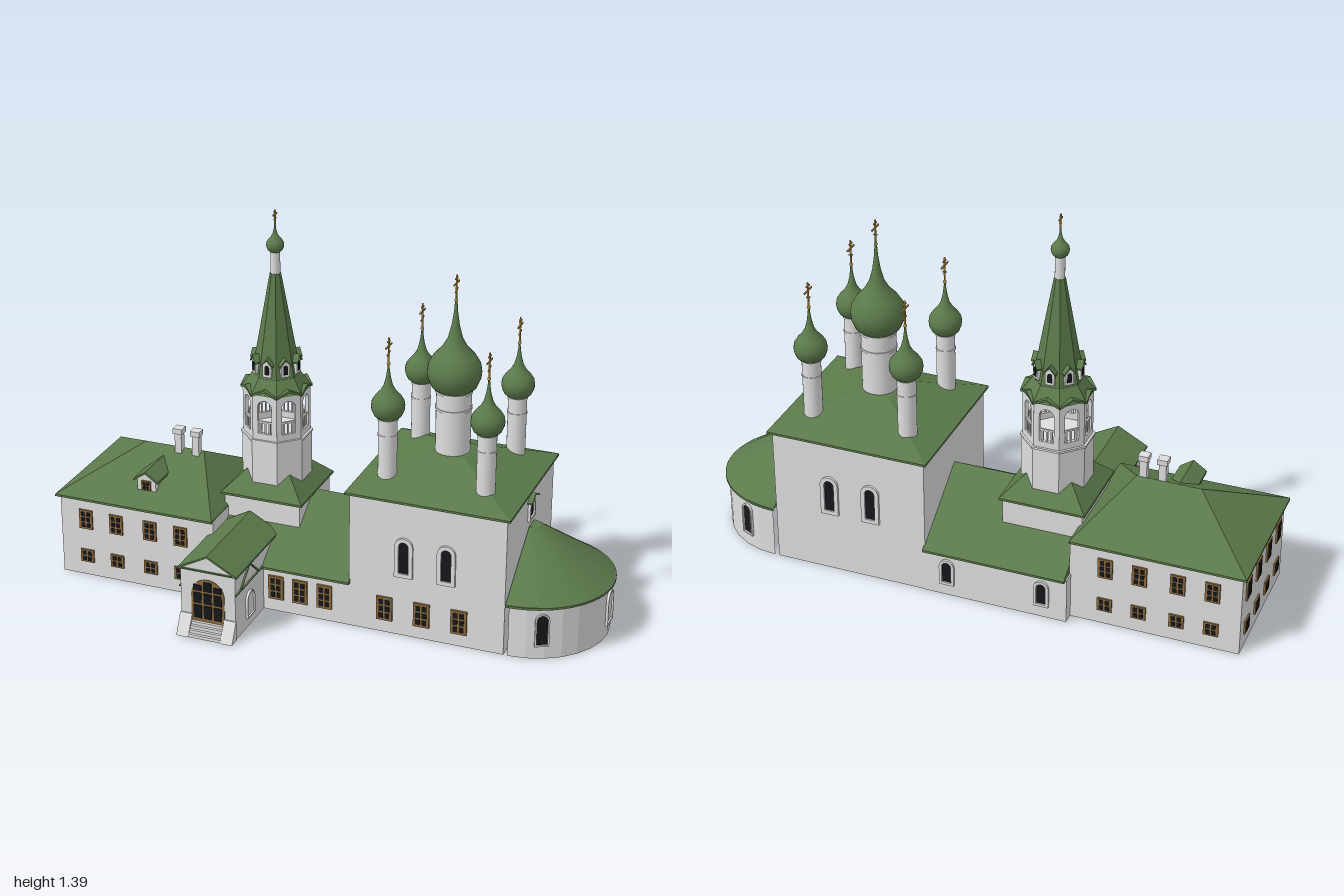
import * as THREE from 'three';

const mat = (name, color) => Object.assign(new THREE.MeshStandardMaterial({ color }), { name });

export function createModel() {
  const root = new THREE.Group();
  root.name = 'church';
  const wall = mat('whitewash', 0xdedede);
  const green = mat('greenRoof', 0x5b7a4b);
  const black = mat('darkGlass', 0x15171a);
  const brown = mat('brownWood', 0x8a6a3c);
  const gold = mat('gold', 0xb8913f);

  // ---------- helpers ----------
  const add = (name, geo, m, x = 0, y = 0, z = 0, parent = root) => {
    const mesh = new THREE.Mesh(geo, m);
    mesh.name = name;
    mesh.position.set(x, y, z);
    parent.add(mesh);
    return mesh;
  };
  const group = (name, x, y, z, ry = 0, parent = root) => {
    const g = new THREE.Group();
    g.name = name;
    g.position.set(x, y, z);
    g.rotation.y = ry;
    parent.add(g);
    return g;
  };
  const flat = (geo) => {
    const g = geo.index ? geo.toNonIndexed() : geo;
    g.computeVertexNormals();
    return g;
  };
  // box given by its limits
  const block = (name, m, x0, x1, y0, y1, z0, z1, parent = root) =>
    add(name, new THREE.BoxGeometry(x1 - x0, y1 - y0, z1 - z0), m, (x0 + x1) / 2, (y0 + y1) / 2, (z0 + z1) / 2, parent);
  // hipped roof: box whose top is drawn in to the ridge limits, over a thin eave board
  const hipRoof = (name, [x0, x1, z0, z1], y0, y1, [rx0, rx1, rz0, rz1]) => {
    const geo = new THREE.BoxGeometry(1, 1, 1);
    const p = geo.attributes.position;
    for (let i = 0; i < p.count; i++) {
      const top = p.getY(i) > 0, right = p.getX(i) > 0, front = p.getZ(i) > 0;
      if (top) p.setXYZ(i, right ? rx1 : rx0, y1, front ? rz1 : rz0);
      else p.setXYZ(i, right ? x1 : x0, y0, front ? z1 : z0);
    }
    add(name, flat(geo), green);
    block(name + 'Eave', green, x0, x1, y0 - 0.008, y0, z0, z1);
  };
  const poly = (pts) => new THREE.Shape(pts.map(([x, y]) => new THREE.Vector2(x, y)));
  const extrude = (shape, depth) => new THREE.ExtrudeGeometry(shape, { depth, bevelEnabled: false, curveSegments: 8 });
  // arch outline standing on y0
  const arch = (w, h, y0 = 0, Type = THREE.Shape) => {
    const s = new Type(), r = w / 2;
    s.moveTo(-r, y0);
    s.lineTo(r, y0);
    s.lineTo(r, y0 + h - r);
    s.absarc(0, y0 + h - r, r, 0, Math.PI, false);
    s.closePath();
    return s;
  };
  // inverted V strip, used for gables
  const vee = (half, y0, y1, t) =>
    poly([[-half, y0], [-half, y0 - t], [0, y1 - t], [half, y0 - t], [half, y0], [0, y1]]);
  const prism = (r0, r1, h, n, a0 = Math.PI / 8) =>
    flat(new THREE.CylinderGeometry(r1, r0, h, n).rotateY(a0));

  // wooden window with dark panes, standing on its origin and facing +z
  const sash = (x, y, z, w, h, cols, rows, ry = 0) => {
    const g = group('window', x, y, z, ry);
    add('windowFrame', new THREE.BoxGeometry(w, h, 0.008), brown, 0, h / 2, 0.002, g);
    const cw = w * 0.8 / cols, ch = h * 0.88 / rows;
    for (let i = 0; i < cols; i++) for (let j = 0; j < rows; j++)
      add('pane', new THREE.BoxGeometry(cw * 0.72, ch * 0.75, 0.003), black,
        (i - (cols - 1) / 2) * cw, h / 2 + (j - (rows - 1) / 2) * ch, 0.006, g);
  };
  // arched window with a raised surround
  const archWindow = (x, y, z, w, h, m, ry = 0, rim = 0.01, parent = root) => {
    const g = group('archedWindow', x, y, z, ry, parent);
    const ring = arch(w + 2 * rim, h + 2 * rim, -rim);
    ring.holes.push(arch(w, h, 0, THREE.Path));
    add('surround', extrude(ring, 0.009), wall, 0, 0, 0, g);
    add('glass', extrude(arch(w, h), 0.003), m, 0, 0, 0, g);
  };

  // ---------- west house ----------
  block('houseWalls', wall, -0.985, -0.385, 0, 0.305, -0.37, 0.132);
  hipRoof('houseRoof', [-1, -0.385, -0.385, 0.145], 0.31, 0.447, [-0.76, -0.53, -0.121, -0.119]);
  for (const x of [-0.885, -0.765, -0.632, -0.512]) for (const [z, ry] of [[0.132, 0], [-0.37, Math.PI]]) {
    sash(x, 0.187, z, 0.052, 0.075, 2, 3, ry);
    sash(x, 0.053, z, 0.052, 0.05, 2, 2, ry);
  }
  for (const z of [-0.3, -0.18, -0.06, 0.06]) {
    sash(-0.985, 0.187, z, 0.052, 0.075, 2, 3, -Math.PI / 2);
    sash(-0.985, 0.053, z, 0.052, 0.05, 2, 2, -Math.PI / 2);
  }
  for (const x of [-0.62, -0.552]) {
    block('chimney', wall, x - 0.013, x + 0.013, 0.4, 0.52, -0.12, -0.094);
    block('chimneyCap', wall, x - 0.018, x + 0.018, 0.51, 0.53, -0.125, -0.089);
  }
  // attic dormer
  add('dormerWalls', extrude(poly([[-0.036, 0.33], [0.036, 0.33], [0.036, 0.395], [0, 0.418], [-0.036, 0.395]]), 0.14), wall, -0.67, 0, -0.07);
  add('dormerRoof', extrude(vee(0.048, 0.392, 0.425, 0.008), 0.17), green, -0.67, 0, -0.09);
  sash(-0.67, 0.352, 0.07, 0.036, 0.036, 2, 2);

  // ---------- refectory ----------
  block('refectoryWalls', wall, -0.39, 0.13, 0, 0.17, -0.41, 0.13);
  hipRoof('refectoryRoof', [-0.385, 0.13, -0.425, 0.145], 0.172, 0.363, [-0.385, 0.13, -0.141, -0.139]);
  for (const x of [-0.145, -0.055, 0.037]) sash(x, 0.05, 0.134, 0.056, 0.09, 2, 3);
  for (const x of [0.045, -0.3]) archWindow(x, 0.055, -0.41, 0.034, 0.08, black, Math.PI);

  // ---------- main cube ----------
  block('mainWalls', wall, 0.127, 0.69, 0, 0.51, -0.408, 0.13);
  hipRoof('mainRoof', [0.113, 0.703, -0.425, 0.145], 0.517, 0.607, [0.34, 0.47, -0.205, -0.075]);
  for (const x of [0.26, 0.395, 0.53]) sash(x, 0.05, 0.134, 0.058, 0.09, 2, 3);
  for (const x of [0.327, 0.48]) for (const [z, ry] of [[0.13, 0], [-0.408, Math.PI]])
    archWindow(x, 0.242, z, 0.036, 0.12, black, ry, 0.015);
  // small east window under its gable
  archWindow(0.69, 0.405, -0.137, 0.044, 0.057, black, Math.PI / 2);
  const eastGable = group('eastGable', 0.69, 0, -0.137, Math.PI / 2);
  add('eastGableRoof', extrude(vee(0.044, 0.473, 0.495, 0.006), 0.018), green, 0, 0, 0, eastGable);

  // ---------- apse ----------
  const halfRound = (r0, r1, h, n) => flat(new THREE.CylinderGeometry(r1, r0, h, n, 1, false, 0, Math.PI));
  add('apseWalls', halfRound(0.27, 0.27, 0.2, 14), wall, 0.705, 0.1, -0.139).scale.x = 1.03;
  add('apseRoof', halfRound(0.284, 0.03, 0.178, 24), green, 0.695, 0.287, -0.139).scale.x = 1.06;
  add('apseEave', halfRound(0.284, 0.284, 0.008, 24), green, 0.695, 0.196, -0.139).scale.x = 1.06;
  for (const [a, m] of [[-1, black], [0, wall], [1, black]]) {
    const t = Math.PI / 2 + a * 1.154;
    archWindow(0.705 + Math.sin(t) * 0.276, 0.055, -0.139 + Math.cos(t) * 0.268, a ? 0.038 : 0.058, 0.112, m, t, 0.006);
  }

  // ---------- domes ----------
  const onionProfile = [[0.6, -0.78], [0.83, -0.58], [0.97, -0.25], [1, 0], [0.95, 0.3], [0.76, 0.6], [0.47, 0.92],
    [0.27, 1.28], [0.15, 1.75], [0.07, 2.3], [0.03, 2.95]];
  const onion = (x, y, z, r) =>
    add('onionDome', new THREE.LatheGeometry(onionProfile.map(([a, b]) => new THREE.Vector2(a * r, b * r)), 28), green, x, y, z);
  const cross = (x, y, z, h) => {
    const g = group('cross', x, y, z);
    add('crossBall', new THREE.SphereGeometry(h * 0.07, 12, 8), gold, 0, 0, 0, g);
    add('crossPost', new THREE.BoxGeometry(0.005, h, 0.005), gold, 0, h / 2, 0, g);
    for (const [f, w, tilt] of [[0.86, 0.24, 0], [0.68, 0.6, 0], [0.4, 0.28, 0.45]])
      add('crossBar', new THREE.BoxGeometry(0.005, 0.005, h * w), gold, 0, h * f, 0, g).rotation.x = tilt;
  };
  const drum = (x, z, r, y0, y1) => {
    add('drum', new THREE.CylinderGeometry(r, r, y1 - y0, 24), wall, x, (y0 + y1) / 2, z);
    for (const y of [y0 + (y1 - y0) * 0.72, y1 - 0.012])
      add('drumBand', new THREE.CylinderGeometry(r * 1.06, r * 1.06, 0.008, 24), wall, x, y, z);
  };
  drum(0.403, -0.139, 0.061, 0.58, 0.84);
  onion(0.403, 0.9, -0.139, 0.094);
  cross(0.403, 1.155, -0.139, 0.09);
  for (const x of [0.227, 0.579]) for (const z of [-0.306, 0.031]) {
    drum(x, z, 0.033, 0.53, 0.775);
    onion(x, 0.813, z, 0.058);
    cross(x, 0.965, z, 0.093);
  }

  // ---------- bell tower ----------
  const tx = -0.255, tz = -0.146, K = 1 / Math.cos(Math.PI / 8);
  block('towerBase', wall, tx - 0.143, tx + 0.143, 0, 0.36, tz - 0.143, tz + 0.143);
  hipRoof('towerBaseRoof', [tx - 0.154, tx + 0.154, tz - 0.154, tz + 0.154], 0.363, 0.47, [tx - 0.05, tx + 0.05, tz - 0.05, tz + 0.05]);
  add('towerOctagon', prism(0.114 * K, 0.114 * K, 0.21, 8), wall, tx, 0.465, tz);
  add('towerCornice', prism(0.118 * K, 0.118 * K, 0.008, 8), wall, tx, 0.567, tz);
  add('towerSkirt', prism(0.114 * K, 0.08 * K, 0.05, 8), green, tx, 0.765, tz);
  add('tentRoof', prism(0.08 * K, 0.018 * K, 0.375, 8), green, tx, 0.972, tz);
  for (let i = 0; i < 8; i++) {
    const a = i * Math.PI / 4;
    const g = group('belfrySide', tx, 0, tz, a);
    // open arch with a railing
    const s = poly([[-0.0455, 0.57], [0.0455, 0.57], [0.0455, 0.742], [-0.0455, 0.742]]);
    s.holes.push(arch(0.052, 0.125, 0.595, THREE.Path));
    add('belfryArch', extrude(s, 0.013), wall, 0, 0, 0.097, g);
    block('railing', wall, -0.027, 0.027, 0.634, 0.641, 0.1, 0.106, g);
    for (const x of [-0.016, 0, 0.016]) block('baluster', wall, x - 0.003, x + 0.003, 0.595, 0.635, 0.1, 0.106, g);
    // low gable over the arch
    add('belfryGable', extrude(vee(0.047, 0.742, 0.762, 0.008), 0.03), green, 0, 0, 0.088, g);
    // tent dormer
    const d = poly([[-0.016, 0.8], [0.016, 0.8], [0.016, 0.845], [0, 0.862], [-0.016, 0.845]]);
    add('tentDormer', extrude(d, 0.035), wall, 0, 0, 0.05, g);
    add('tentDormerRoof', extrude(vee(0.021, 0.845, 0.87, 0.006), 0.04), green, 0, 0, 0.05, g);
    add('tentDormerOpening', extrude(arch(0.016, 0.034, 0.81), 0.003), black, 0, 0, 0.084, g);
  }
  add('towerNeck', new THREE.CylinderGeometry(0.017, 0.017, 0.09, 16), wall, tx, 1.198, tz);
  onion(tx, 1.262, tz, 0.031);
  cross(tx, 1.335, tz, 0.052);

  // ---------- porch ----------
  const px = -0.297;
  add('porchWalls', extrude(poly([[-0.102, 0], [0.102, 0], [0.102, 0.246], [0, 0.3], [-0.102, 0.246]]), 0.37), wall, px, 0, 0.005);
  add('porchRoof', extrude(vee(0.111, 0.248, 0.308, 0.007), 0.375), green, px, 0, 0.007);
  block('porchCornice', green, px - 0.105, px + 0.105, 0.243, 0.248, 0.37, 0.381);
  add('doorway', extrude(arch(0.124, 0.165), 0.005), brown, px, 0.05, 0.373);
  for (const x of [-0.038, 0, 0.038]) for (const [y, h] of [[0.063, 0.05], [0.121, 0.04], [0.169, x ? 0.022 : 0.036]])
    block('doorPane', black, px + x - 0.015, px + x + 0.015, y, y + h, 0.374, 0.381);
  for (const s of [-1, 1]) {
    const g = group('porchSide', px + s * 0.102, 0, 0.256, s * Math.PI / 2);
    add('sideMoulding', extrude(vee(0.075, 0.18, 0.246, 0.006), 0.006), green, 0, 0, 0, g);
    block('sideCornice', green, -0.122, 0.122, 0.172, 0.176, 0, 0.006, g);
    archWindow(0, 0.043, 0, 0.055, 0.09, wall, 0, 0.004, g);
    // sloping stair cheek
    const cheek = extrude(poly([[0, 0], [0.042, 0], [0.004, 0.073], [0, 0.073]]), 0.045).rotateY(-Math.PI / 2);
    add('stairCheek', cheek, wall, px + (s > 0 ? 0.105 : -0.06), 0, 0.375);
  }
  for (let i = 0; i < 4; i++)
    block('step', wall, px - 0.06, px + 0.06, 0, 0.012 * (i + 1), 0.37, 0.415 - i * 0.01);
  return root;
}
